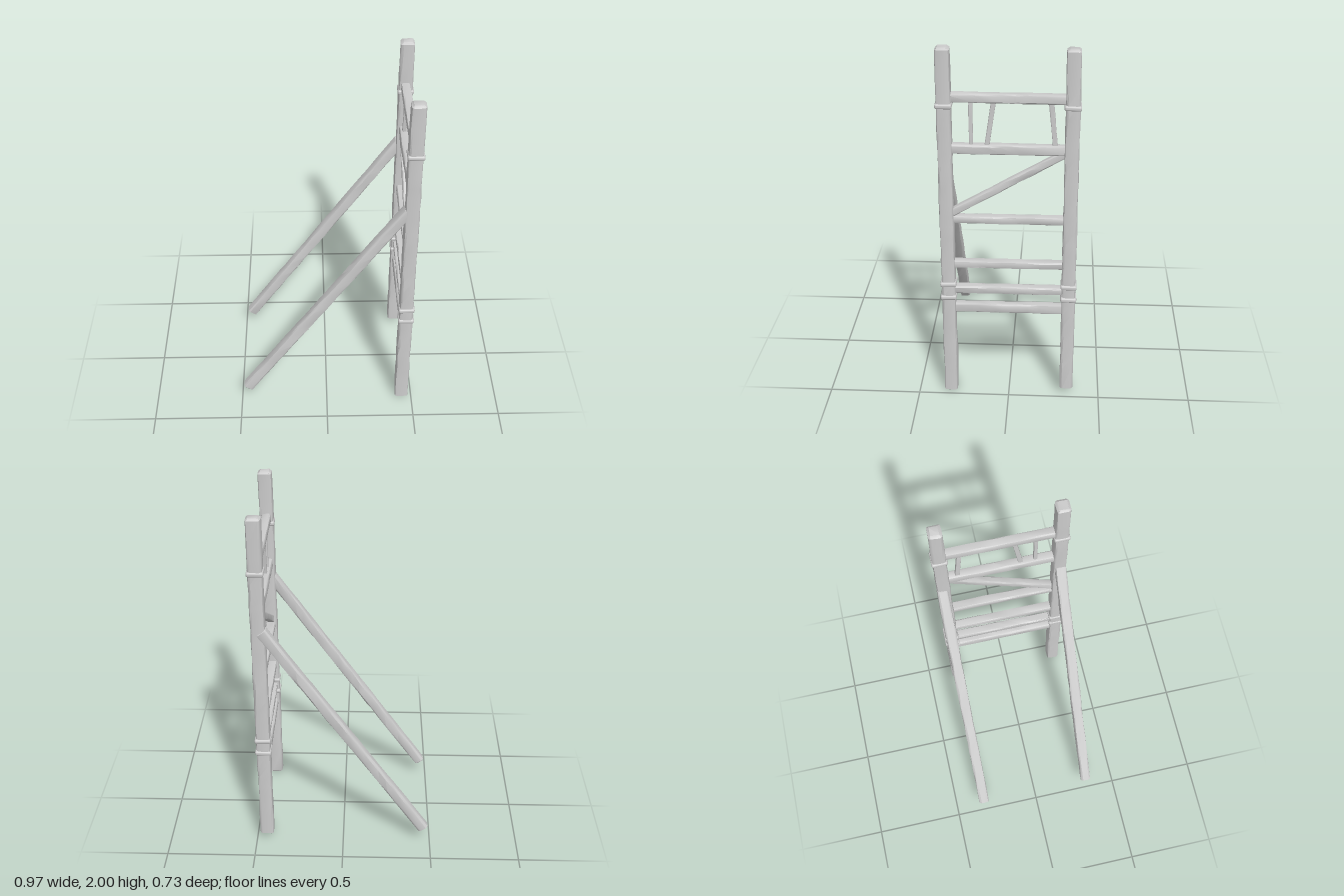
import * as THREE from 'three';
import { RoundedBoxGeometry } from 'three/addons/geometries/RoundedBoxGeometry.js';
import { mergeVertices, toCreasedNormals } from 'three/addons/utils/BufferGeometryUtils.js';

const material = new THREE.MeshStandardMaterial({ color: 0xcccccc });

// Small seeded generator for the hewn-wood unevenness
let seed = 7;
const rand = () => {
  seed = (seed * 16807) % 2147483647;
  return seed / 2147483647 - 0.5;
};

// Rough timber from point a to point b, section w by d, with worn edges and ends
function beam(name, a, b, w, d, rough = 0.004) {
  const start = new THREE.Vector3(...a), end = new THREE.Vector3(...b);
  const dir = end.clone().sub(start), length = dir.length();
  const rows = Math.max(5, Math.round(length / 0.07));
  let geo = new THREE.BoxGeometry(2, 2, 2, 3, rows, 3);
  geo.deleteAttribute('normal');
  geo.deleteAttribute('uv');
  geo = mergeVertices(geo, 1e-4);
  const p = geo.attributes.position;
  const wear = 0.12 * Math.min(w, d);
  for (let i = 0; i < p.count; i++) {
    const x = p.getX(i), z = p.getZ(i);
    const row = Math.round((p.getY(i) + 1) / 2 * rows);
    const atEnd = row === 0 || row === rows;
    const corner = Math.abs(x) > 0.9 && Math.abs(z) > 0.9;
    // inner columns move out towards the edges, corners are bevelled
    const spread = (v, size) => Math.abs(v) > 0.9
      ? Math.sign(v) * (size / 2 - (corner ? wear * 0.5 : 0) - (atEnd ? wear : 0))
      : Math.sign(v) * (size / 2 - wear * 1.6);
    let y = row / rows * length;
    if (row === 1) y = wear * 1.2;
    if (row === rows - 1) y = length - wear * 1.2;
    if (atEnd && (Math.abs(x) > 0.9 || Math.abs(z) > 0.9)) y += (row ? -1 : 1) * wear * 0.4;
    p.setXYZ(i, spread(x, w) + rand() * rough, y + rand() * rough * 0.5, spread(z, d) + rand() * rough);
  }
  const mesh = new THREE.Mesh(toCreasedNormals(geo, 0.6), material);
  mesh.name = name;
  mesh.position.copy(start);
  mesh.quaternion.setFromUnitVectors(new THREE.Vector3(0, 1, 0), dir.normalize());
  return mesh;
}

export function createModel() {
  const model = new THREE.Group();
  model.name = 'timberFrame';
  const X = 0.442;

  // Two upright posts, each with a raking brace and lashings
  for (const [side, z, bottom] of [['front', 0.323, 0], ['back', -0.32, 0.03]]) {
    model.add(beam(side + 'Post', [X, bottom, z], [X, 2, z], 0.076, 0.073));
    const bz = z + (z > 0 ? 0.003 : -0.009);
    model.add(beam(side + 'Brace', [-0.465, 0.083, bz], [0.43, 1.372, bz], 0.058, 0.058));
    for (const y of [0.61, 0.688, 1.703]) {
      const band = new THREE.Mesh(new RoundedBoxGeometry(0.089, 0.026, 0.086, 3, 0.01), material);
      band.name = side + 'Lashing';
      band.position.set(X + 0.001, y, z);
      band.rotation.set(rand() * 0.08, 0, rand() * 0.08);
      model.add(band);
    }
  }

  // Horizontal rungs: centre height, thickness
  for (const [y, t] of [[0.536, 0.052], [0.65, 0.042], [0.804, 0.038], [1.07, 0.04], [1.467, 0.052], [1.74, 0.048]]) {
    model.add(beam('rung', [0.44, y, 0.31], [0.44, y + rand() * 0.006, -0.305], 0.05, t, 0.003));
  }

  // Diagonal tie between the posts
  model.add(beam('diagonalTie', [0.44, 1.1, 0.305], [0.44, 1.455, -0.3], 0.04, 0.04, 0.003));

  // Thin slats under the top rung: lower z, upper z, width
  for (const [z0, z1, w] of [[0.19, 0.19, 0.02], [0.11, 0.073, 0.025], [-0.236, -0.212, 0.025]]) {
    model.add(beam('slat', [0.44, 1.48, z0], [0.44, 1.73, z1], 0.022, w, 0.002));
  }
  return model;
}
